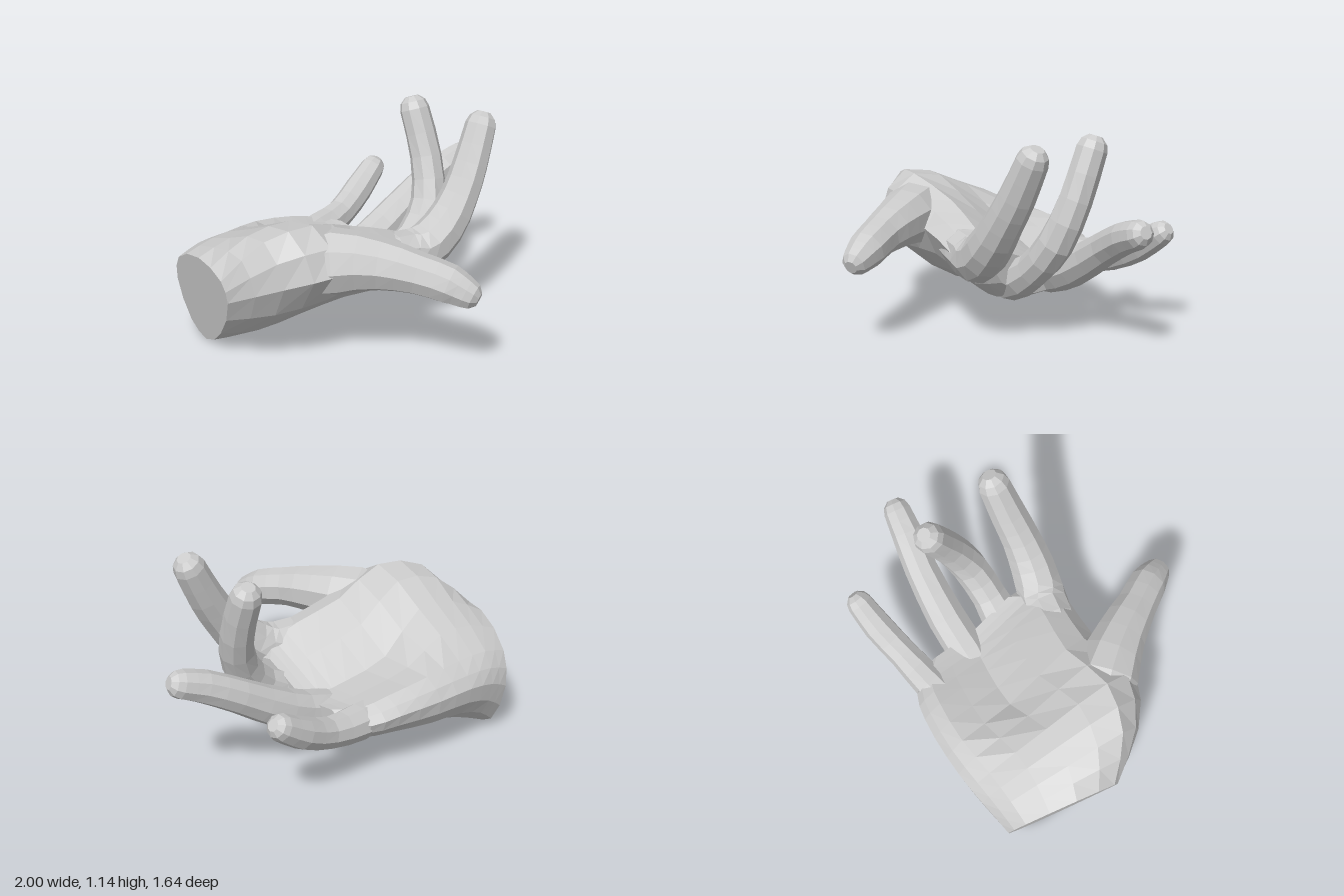
import * as THREE from 'three';

const material = new THREE.MeshStandardMaterial({ color: 0xcccccc, flatShading: true });
const V = (x, y, z) => new THREE.Vector3(x, y, z);

// Skin a list of equal-length rings (counter-clockwise along the path) and cap both ends
function loft(rings, name) {
  const n = rings[0].length;
  const pos = [];
  const idx = [];
  rings.forEach((r) => r.forEach((p) => pos.push(p.x, p.y, p.z)));
  for (let i = 0; i < rings.length - 1; i++) {
    for (let j = 0; j < n; j++) {
      const k = (j + 1) % n;
      const a = i * n + j, b = i * n + k, c = (i + 1) * n + k, d = (i + 1) * n + j;
      idx.push(a, b, d, b, c, d);
    }
  }
  [0, rings.length - 1].forEach((i) => {
    const centre = V(0, 0, 0);
    rings[i].forEach((p) => centre.addScaledVector(p, 1 / n));
    const c = pos.length / 3;
    pos.push(centre.x, centre.y, centre.z);
    for (let j = 0; j < n; j++) {
      const a = i * n + j, b = i * n + (j + 1) % n;
      if (i) idx.push(c, a, b);
      else idx.push(c, b, a);
    }
  });
  const geo = new THREE.BufferGeometry();
  geo.setAttribute('position', new THREE.Float32BufferAttribute(pos, 3));
  geo.setIndex(idx);
  geo.computeVertexNormals();
  const mesh = new THREE.Mesh(geo, material);
  mesh.name = name;
  return mesh;
}

// A tapered digit; each point is [x, y, z, radius], ref is a vector across the path
function digit(name, points, ref, sides = 9) {
  const curve = new THREE.CatmullRomCurve3(points.map((p) => V(p[0], p[1], p[2])));
  const last = points.length - 1;
  const steps = last * 2;
  const rings = [];
  const addRing = (centre, t, r) => {
    const u = new THREE.Vector3().crossVectors(t, ref).normalize();
    const v = new THREE.Vector3().crossVectors(t, u);
    rings.push(Array.from({ length: sides }, (_, j) => {
      const a = (j / sides) * Math.PI * 2;
      return centre.clone().addScaledVector(u, r * Math.cos(a)).addScaledVector(v, r * Math.sin(a));
    }));
  };
  for (let i = 0; i <= steps; i++) {
    const t = i / steps;
    const k = Math.min(Math.floor(t * last), last - 1);
    addRing(curve.getPoint(t), curve.getTangent(t),
      THREE.MathUtils.lerp(points[k][3], points[k + 1][3], t * last - k));
  }
  // rounded fingertip
  const tip = curve.getPoint(1), t = curve.getTangent(1), r = points[last][3];
  [[0.5, 0.84], [0.85, 0.45]].forEach(([d, s]) =>
    addRing(tip.clone().addScaledVector(t, d * r), t, r * s));
  return loft(rings, name);
}

// One palm section at x, leaning by slant; [z, y] pairs run from the little-finger edge
// over the palm to the thumb side and back underneath
function section(x, slant, outline) {
  const ring = new THREE.CatmullRomCurve3(outline.map(([z, y]) =>
    V(x - slant * (0.17 * (y - 0.35) + 0.27 * (z + 0.4)), y, z)), true);
  return Array.from({ length: 16 }, (_, j) => ring.getPoint(j / 16));
}

function palm() {
  const wrist = section(-0.93, 1, [[-0.8, 0.3], [-0.72, 0.47], [-0.45, 0.58], [-0.23, 0.53], [-0.2, 0.41], [-0.37, 0.14], [-0.58, 0], [-0.73, 0.06]]);
  const heel = section(-0.76, 0.6, [[-0.81, 0.36], [-0.71, 0.51], [-0.38, 0.66], [-0.06, 0.75], [0.07, 0.52], [-0.22, 0.16], [-0.55, 0.03], [-0.75, 0.15]]);
  const thumbMound = section(-0.55, 0.3, [[-0.82, 0.4], [-0.7, 0.51], [-0.34, 0.67], [0.04, 0.79], [0.25, 0.57], [-0.1, 0.22], [-0.5, 0.09], [-0.76, 0.22]]);
  const hollow = section(-0.3, 0, [[-0.81, 0.4], [-0.7, 0.5], [-0.37, 0.48], [0.02, 0.68], [0.22, 0.55], [-0.03, 0.24], [-0.45, 0.13], [-0.75, 0.24]]);
  const fingerMound = section(-0.05, 0, [[-0.77, 0.39], [-0.66, 0.46], [-0.33, 0.4], [0.08, 0.59], [0.26, 0.48], [0.03, 0.22], [-0.38, 0.15], [-0.69, 0.25]]);
  const knuckles = section(0.1, 0, [[-0.71, 0.36], [-0.61, 0.42], [-0.29, 0.36], [0.1, 0.52], [0.28, 0.43], [0.04, 0.21], [-0.33, 0.17], [-0.63, 0.25]]);
  // the webs between the fingers narrow the end of the palm
  const webs = knuckles.map((p) => p.clone().lerp(V(0.45, 0.33, -0.2), 0.27));

  // smooth lengthwise between the sections
  const sections = [wrist, heel, thumbMound, hollow, fingerMound, knuckles, webs];
  const lines = wrist.map((_, j) => new THREE.CatmullRomCurve3(sections.map((s) => s[j])));
  const steps = (sections.length - 1) * 2;
  const rings = Array.from({ length: steps + 1 }, (_, i) => lines.map((l) => l.getPoint(i / steps)));
  return loft(rings, 'palm');
}

export function createModel() {
  const hand = new THREE.Group();
  hand.name = 'hand';
  const across = V(0, 0, 1);
  hand.add(palm());

  hand.add(digit('thumb', [
    [-0.73, 0.5, -0.14, 0.13], [-0.52, 0.58, 0.12, 0.18], [-0.4, 0.585, 0.33, 0.14],
    [-0.32, 0.56, 0.51, 0.113], [-0.25, 0.52, 0.66, 0.105], [-0.22, 0.485, 0.745, 0.083],
  ], V(0, 1, 0)));

  hand.add(digit('indexFinger', [
    [-0.25, 0.46, 0.06, 0.1], [-0.06, 0.46, 0.13, 0.125], [0.1, 0.45, 0.18, 0.135], [0.24, 0.55, 0.225, 0.124],
    [0.36, 0.7, 0.24, 0.108], [0.46, 0.86, 0.235, 0.1], [0.56, 1.06, 0.225, 0.088],
  ], across));

  hand.add(digit('middleFinger', [
    [-0.18, 0.32, -0.1, 0.06], [0.11, 0.295, -0.06, 0.122], [0.3, 0.39, -0.04, 0.1],
    [0.45, 0.56, -0.055, 0.1], [0.52, 0.8, -0.13, 0.092], [0.535, 1.06, -0.23, 0.086],
  ], across));

  hand.add(digit('ringFinger', [
    [-0.15, 0.27, -0.35, 0.06], [0.13, 0.285, -0.32, 0.115], [0.35, 0.37, -0.305, 0.11],
    [0.62, 0.535, -0.265, 0.094], [0.8, 0.635, -0.215, 0.088], [0.92, 0.68, -0.185, 0.078],
  ], across));

  hand.add(digit('littleFinger', [
    [-0.2, 0.34, -0.57, 0.08], [0.1, 0.335, -0.605, 0.1], [0.33, 0.37, -0.625, 0.085],
    [0.52, 0.46, -0.65, 0.085], [0.66, 0.555, -0.66, 0.073],
  ], across));

  return hand;
}
